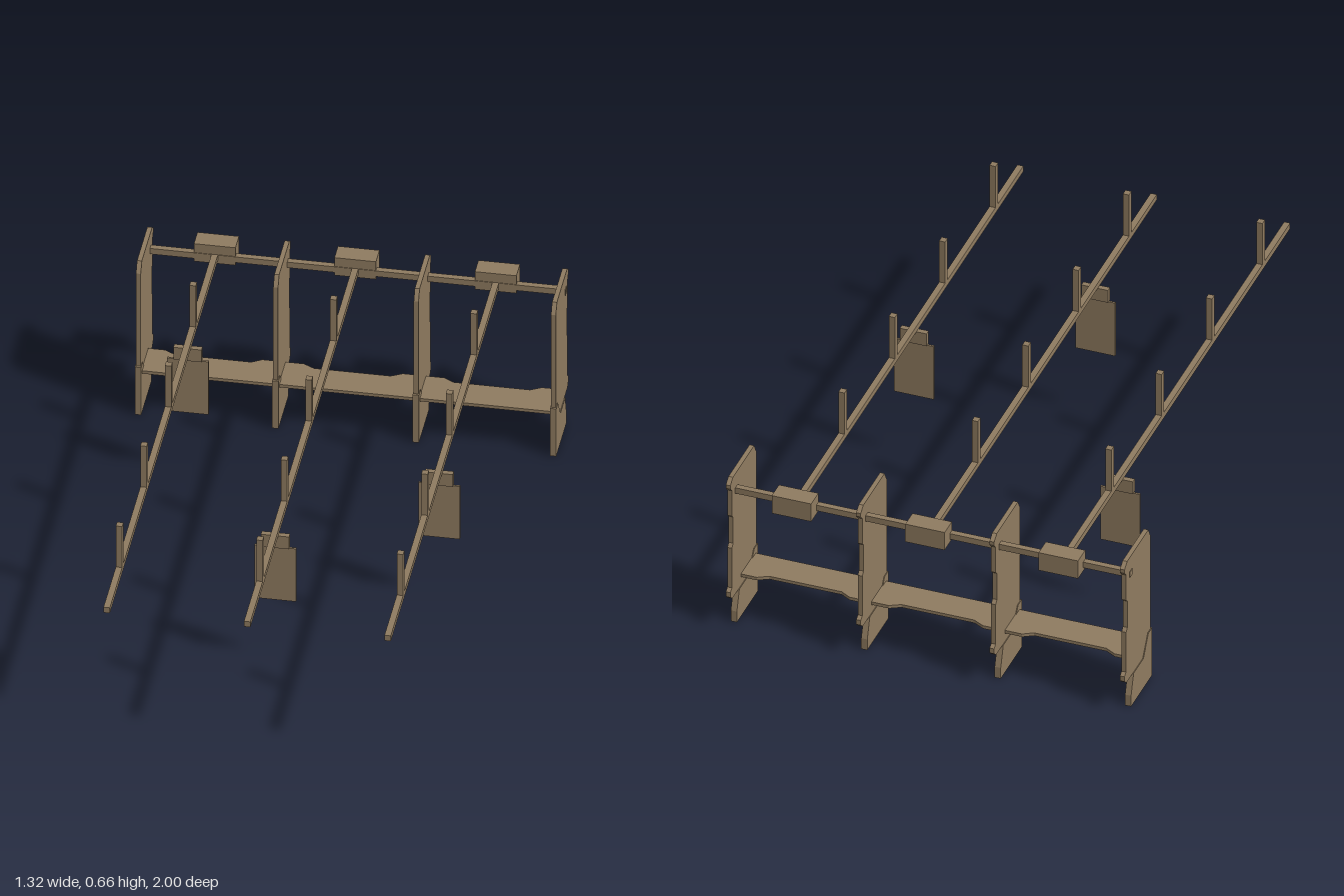
import * as THREE from 'three';

export function createModel() {
  const root = new THREE.Group();
  root.name = 'rack';
  const wood = new THREE.MeshStandardMaterial({ color: 0x8f7b60 });
  wood.name = 'weathered wood';

  const add = (name, geometry, parent = root) => {
    const mesh = new THREE.Mesh(geometry, wood);
    mesh.name = name;
    parent.add(mesh);
    return mesh;
  };
  // Box given by its min and max on each axis
  const box = (name, x0, x1, y0, y1, z0, z1, parent) =>
    add(name, new THREE.BoxGeometry(x1 - x0, y1 - y0, z1 - z0), parent)
      .position.set((x0 + x1) / 2, (y0 + y1) / 2, (z0 + z1) / 2);
  // Flat outline extruded to a given thickness
  const plate = (points, depth) => new THREE.ExtrudeGeometry(
    new THREE.Shape(points.map(p => new THREE.Vector2(...p))),
    { depth, bevelEnabled: false }).translate(0, 0, -depth / 2);

  // Upright boards with a worn back edge, and thicker feet: (distance back, height)
  const board = [
    [0.77, 0.1], [0.91, 0.11], [0.98, 0.11], [0.998, 0.125], [0.998, 0.143], [0.984, 0.152],
    [0.984, 0.3], [0.973, 0.312], [0.973, 0.41], [0.984, 0.42], [0.984, 0.515], [0.998, 0.53],
    [0.998, 0.543], [0.975, 0.56], [0.79, 0.56], [0.77, 0.525],
  ];
  const foot = [
    [0.763, 0], [0.947, 0], [0.947, 0.04], [0.925, 0.11], [0.84, 0.11], [0.795, 0.178], [0.763, 0.178],
  ];
  const boardGeometry = plate(board, 0.015).rotateY(Math.PI / 2);
  const footGeometry = plate(foot, 0.02).rotateY(Math.PI / 2);
  for (const x of [-0.65, -0.22, 0.22, 0.65]) {
    const upright = new THREE.Group();
    upright.name = 'upright';
    upright.position.x = x;
    add('uprightBoard', boardGeometry, upright);
    add('uprightFoot', footGeometry, upright);
    root.add(upright);
  }

  // Low shelf, a little deeper where it meets the uprights: (x, distance back)
  const half = [
    [0.12, 0.886], [0.155, 0.905], [0.285, 0.905], [0.317, 0.886],
    [0.556, 0.886], [0.59, 0.905], [0.645, 0.905], [0.645, 0.782],
  ];
  const shelf = [...half.map(([x, d]) => [-x, d]), ...half.slice().reverse()];
  add('shelf', plate(shelf, 0.011).rotateX(-Math.PI / 2)).position.y = 0.148;

  // Back rail
  box('backRail', -0.66, 0.66, 0.487, 0.508, -0.955, -0.935);

  // Long arms with their anchor blocks, pegs and one hanging sign each
  for (const [x, signZ] of [[-0.44, -0.457], [0, 0.492], [0.44, 0.073]]) {
    const arm = new THREE.Group();
    arm.name = 'arm';
    arm.position.x = x;
    root.add(arm);
    box('armRod', -0.01, 0.01, 0.488, 0.508, -0.95, 1, arm);
    box('anchorBlock', -0.065, 0.065, 0.475, 0.541, -1, -0.937, arm);
    for (const z of [0.768, 0.328, -0.112, -0.552]) {
      box('peg', -0.01, 0.01, 0.5, 0.662, z - 0.011, z + 0.011, arm);
    }
    box('signHanger', -0.044, 0.044, 0.443, 0.489, signZ - 0.009, signZ + 0.009, arm);
    box('signBoard', -0.065, 0.065, 0.245, 0.443, signZ - 0.0035, signZ + 0.0035, arm);
  }

  return root;
}
